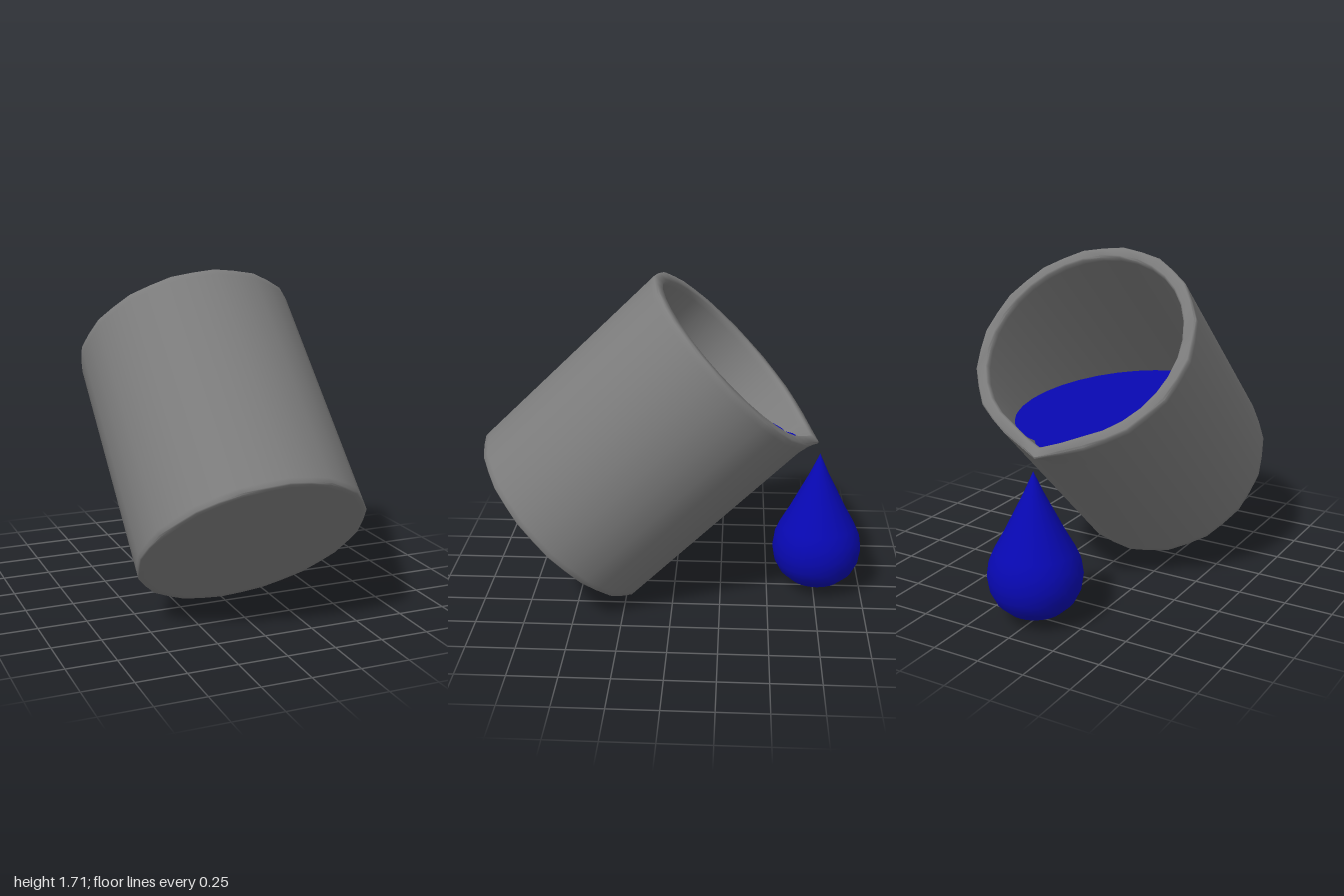
import * as THREE from 'three';
import { toCreasedNormals } from 'three/addons/utils/BufferGeometryUtils.js';

const SIDES = 32;
const TILT = -0.8;

const grey = new THREE.MeshStandardMaterial({ color: 0x7c7c7c });
const blue = new THREE.MeshStandardMaterial({ color: 0x0808b2, side: THREE.DoubleSide });

function lathe(points) {
  return new THREE.LatheGeometry(points.map(([r, y]) => new THREE.Vector2(r, y)), SIDES);
}

// How far the pouring lip bulges; the channel inside opens earlier than the outer wall
function lipFlare(y, isOuter) {
  const t = THREE.MathUtils.clamp((y - 1.07) / 0.185, 0, 1);
  return 0.06 * Math.pow(t, isOuter ? 1.5 : 0.6);
}

// Hollow cup with a thick, softly rounded rim and a narrow lip
function makeBeaker() {
  const profile = [
    [0, -0.003], [0.55, -0.003], [0.577, -0.003], [0.583, 0.003], [0.583, 0.03],
    [0.583, 1.07], [0.583, 1.12], [0.583, 1.17], [0.583, 1.22], [0.583, 1.25], [0.575, 1.258],
    [0.528, 1.258], [0.52, 1.25], [0.52, 1.22], [0.52, 1.17], [0.52, 1.12], [0.52, 1.07],
    [0.52, 0.06], [0, 0.06],
  ];
  const geometry = lathe(profile);
  const p = geometry.attributes.position;
  for (let i = 0; i < p.count; i++) {
    const column = Math.floor(i / profile.length);
    const isOuter = Math.hypot(p.getX(i), p.getZ(i)) > 0.54;
    // Every second column lies slightly inside the circle, giving a soft 16-sided outline
    if (isOuter && column % 2 === 1) {
      p.setX(i, p.getX(i) * 0.989);
      p.setZ(i, p.getZ(i) * 0.989);
    }
    const fromLip = Math.abs(column - SIDES / 2);
    const weight = [1, 0.4][fromLip] ?? 0;
    p.setZ(i, p.getZ(i) - weight * lipFlare(p.getY(i), isOuter));
  }
  const beaker = new THREE.Mesh(toCreasedNormals(geometry, 1), grey);
  beaker.name = 'beaker';
  beaker.rotation.x = TILT;
  beaker.position.set(0, 0.4175, 0.595);
  return beaker;
}

// Level surface: the oblique cut through the cup, with a tongue in the lip
function makeLiquid() {
  const shape = new THREE.Shape();
  const gap = 0.21;
  shape.absellipse(0, -0.15, 0.52, 0.746, Math.PI / 2 + gap, Math.PI * 2.5 - gap, false, 0);
  shape.lineTo(0.08, 0.62);
  shape.lineTo(0.05, 0.645);
  shape.lineTo(-0.05, 0.645);
  shape.lineTo(-0.08, 0.62);
  const liquid = new THREE.Mesh(new THREE.ShapeGeometry(shape, 32), blue);
  liquid.name = 'liquidSurface';
  liquid.rotation.x = -Math.PI / 2;
  liquid.position.y = 0.852;
  return liquid;
}

// Falling drop below the lip
function makeDrop() {
  const drop = new THREE.Mesh(lathe([
    [0, 0.03], [0.07, 0.036], [0.14, 0.06], [0.195, 0.11], [0.225, 0.17],
    [0.236, 0.24], [0.226, 0.31], [0.2, 0.37], [0.15, 0.46],
    [0.1, 0.56], [0.05, 0.66], [0, 0.772],
  ]), blue);
  drop.name = 'drop';
  drop.position.z = -0.762;
  return drop;
}

export function createModel() {
  const model = new THREE.Group();
  model.name = 'pouringBeaker';
  model.add(makeBeaker(), makeLiquid(), makeDrop());
  return model;
}
